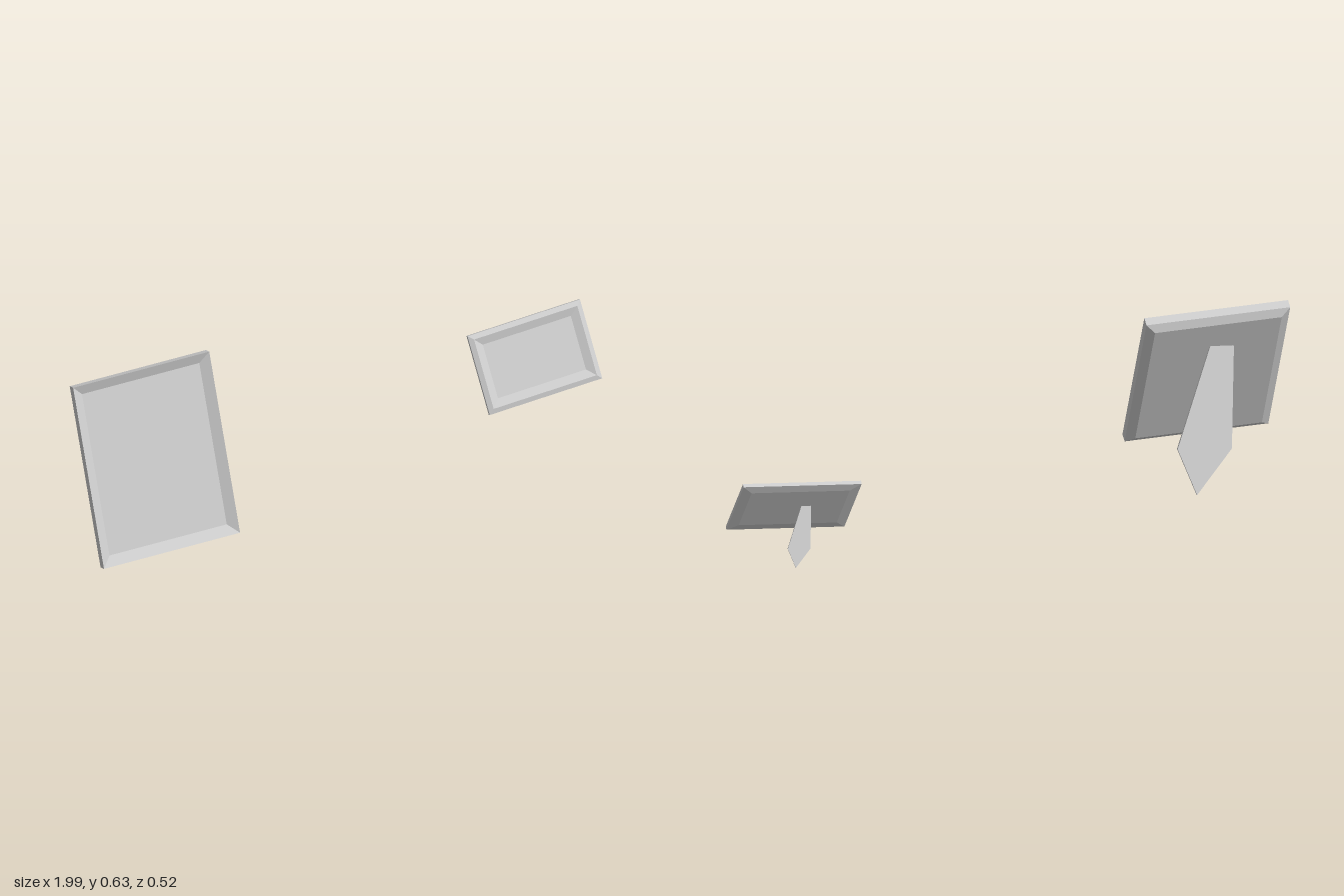
import * as THREE from 'three';

const material = new THREE.MeshStandardMaterial({ color: 0xcccccc, flatShading: true });

function addMesh(parent, geometry, name) {
  const mesh = new THREE.Mesh(geometry, material);
  mesh.name = name;
  parent.add(mesh);
}

// Group with its origin at a point, its x axis along xDir and y axis near yDir
function placedGroup(name, origin, xDir, yDir) {
  const x = new THREE.Vector3(...xDir).normalize();
  const z = new THREE.Vector3().crossVectors(x, new THREE.Vector3(...yDir)).normalize();
  const y = new THREE.Vector3().crossVectors(z, x);
  const group = new THREE.Group();
  group.name = name;
  group.applyMatrix4(new THREE.Matrix4().makeBasis(x, y, z).setPosition(...origin));
  return group;
}

// Mitred rectangular body: profile of [inset, z] steps from front opening to back panel
function mitredGeometry(width, height, profile) {
  const rings = profile.map(([inset, z]) => {
    const w = width / 2 - inset, h = height / 2 - inset;
    return [[-w, -h, z], [w, -h, z], [w, h, z], [-w, h, z]];
  });
  const points = [];
  const quad = (a, b, c, d) => points.push(...a, ...b, ...c, ...a, ...c, ...d);
  for (let i = 0; i + 1 < rings.length; i++) {
    for (let k = 0; k < 4; k++) {
      const n = (k + 1) % 4;
      quad(rings[i][k], rings[i + 1][k], rings[i + 1][n], rings[i][n]);
    }
  }
  const back = rings[rings.length - 1];
  quad(back[3], back[2], back[1], back[0]);
  const geometry = new THREE.BufferGeometry();
  geometry.setAttribute('position', new THREE.Float32BufferAttribute(points, 3));
  geometry.computeVertexNormals();
  return geometry;
}

// Frame body with a sunken picture panel
function makeFrame(name, { center, across, up, width, height, profile }) {
  const frame = placedGroup(name, center, across, up);
  addMesh(frame, mitredGeometry(width, height, profile), 'frameBody');
  const [inset, depth] = profile[0];
  const panel = new THREE.PlaneGeometry(width - 2 * inset, height - 2 * inset);
  addMesh(frame, panel.translate(0, 0, depth), 'picturePanel');
  return frame;
}

// Pointed easel leg; the origin is the middle of its top edge
function makeStand(name, top, scale) {
  const stand = placedGroup(name, top, [0.993, 0.101, 0.053], [-0.058, 0.465, 0.201]);
  const outline = [[-0.041, 0], [-0.04, -0.352], [0.078, -0.51], [0.148, -0.352], [0.041, 0]];
  const shape = new THREE.Shape(outline.map(([x, y]) => new THREE.Vector2(x * scale, y * scale)));
  const plate = new THREE.ExtrudeGeometry(shape, { depth: 0.012 * scale, bevelEnabled: false });
  addMesh(stand, plate, 'standPlate');
  return stand;
}

export function createModel() {
  const model = new THREE.Group();
  model.name = 'pictureFrames';

  // Large upright frame: tray-like front, chamfered back
  model.add(makeFrame('largeFrame', {
    center: [-0.7325, 0.3215, 0.145],
    across: [0.505, 0.014, -0.0135],
    up: [-0.024, 0.604, -0.218],
    width: 0.505,
    height: 0.643,
    profile: [[0.035, -0.02], [0, 0], [0, -0.031], [0.03, -0.046]],
  }));
  model.add(makeStand('largeStand', [-0.765, 0.47, 0.038], 1));

  // Small wide frame: raised ridge around the front, shallow chamfered back
  model.add(makeFrame('smallFrame', {
    center: [0.7765, 0.1925, -0.15],
    across: [0.411, 0.049, 0.003],
    up: [-0.032, 0.248, -0.128],
    width: 0.414,
    height: 0.281,
    profile: [[0.045, -0.006], [0.017, 0.007], [0, 0], [0, -0.013], [0.035, -0.017]],
  }));
  model.add(makeStand('smallStand', [0.738, 0.193, -0.176], 0.415));

  return model;
}
